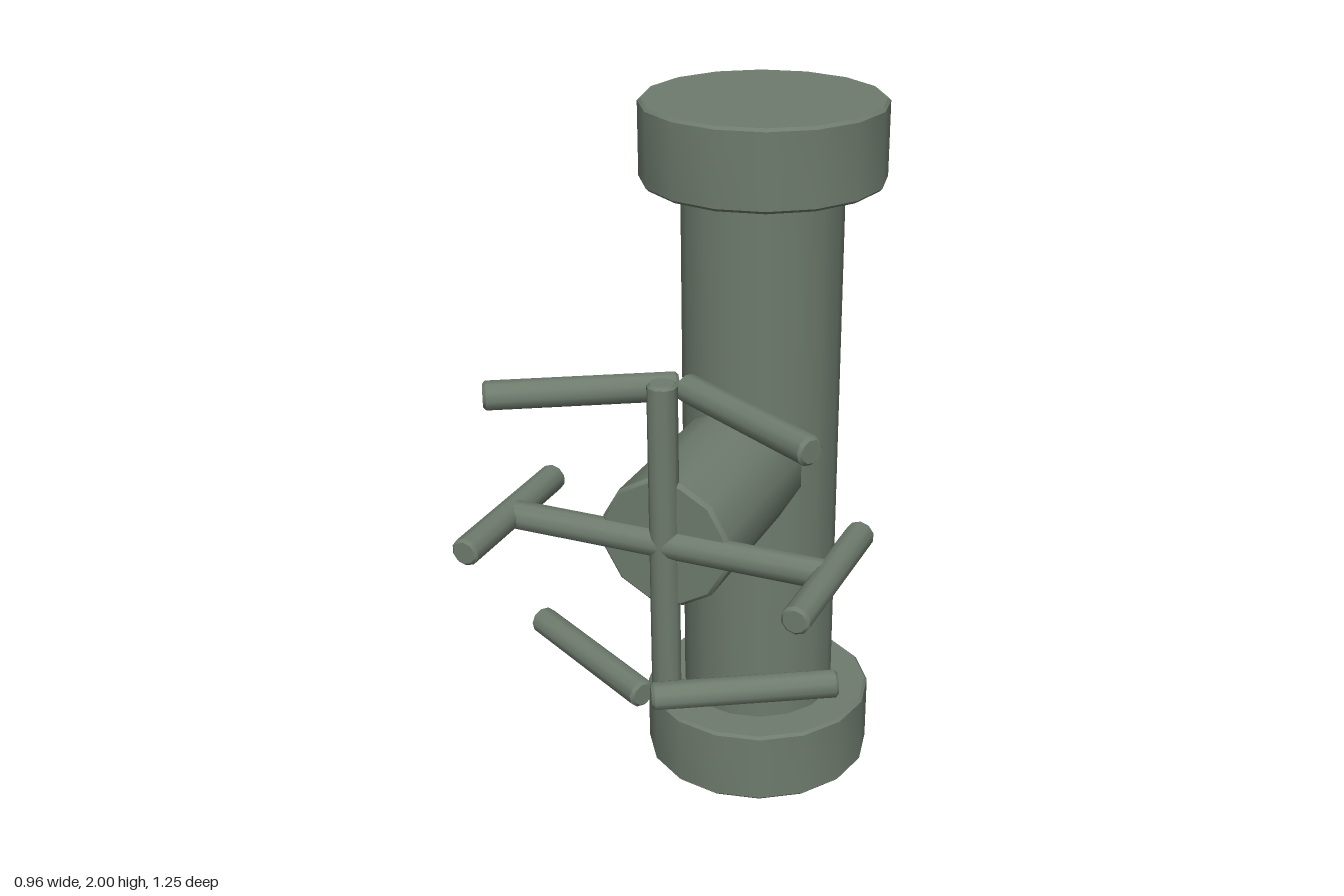
import * as THREE from 'three';
import { toCreasedNormals } from 'three/addons/utils/BufferGeometryUtils.js';

const paint = new THREE.MeshStandardMaterial({ color: 0x6e7b6d });
paint.name = 'grey green paint';

// Upright cylinder with slightly bevelled rims, centred on the origin
function roundBar(name, radius, length, sides, bevel) {
  const h = length / 2;
  const profile = [
    [0, -h], [radius - bevel, -h], [radius, -h + bevel],
    [radius, h - bevel], [radius - bevel, h], [0, h],
  ].map(([x, y]) => new THREE.Vector2(x, y));
  const geometry = toCreasedNormals(new THREE.LatheGeometry(profile, sides), 0.7);
  const mesh = new THREE.Mesh(geometry, paint);
  mesh.name = name;
  return mesh;
}

export function createModel() {
  const model = new THREE.Group();
  model.name = 'pipeValve';

  // Main pipe with a flange at each end
  const pipeZ = -0.29;
  const pipe = roundBar('mainPipe', 0.222, 1.7, 16, 0.006);
  pipe.position.set(0, 1.003, pipeZ);
  model.add(pipe);
  for (const [name, y] of [['bottomFlange', 0.109], ['topFlange', 1.891]]) {
    const flange = roundBar(name, 0.334, 0.218, 16, 0.008);
    flange.position.set(0, y, pipeZ);
    model.add(flange);
  }

  // Branch stub that carries the handwheel
  const stub = roundBar('valveStub', 0.18, 0.63, 12, 0.01);
  stub.geometry.rotateY(Math.PI / 12);
  stub.rotation.x = Math.PI / 2;
  stub.position.set(0, 1.003, 0.067);
  model.add(stub);

  // Handwheel: two crossed spokes and six slanted rim bars
  const wheel = new THREE.Group();
  wheel.name = 'handwheel';
  wheel.position.set(0, 1.003, 0.377);
  const upright = roundBar('verticalSpoke', 0.039, 0.885, 10, 0.008);
  const level = roundBar('horizontalSpoke', 0.039, 0.87, 10, 0.008);
  level.rotation.z = Math.PI / 2;
  wheel.add(upright, level);

  const up = new THREE.Vector3(0, 1, 0);
  for (let i = 0; i < 6; i++) {
    const a = (i * Math.PI) / 3;
    const x = Math.cos(a), y = Math.sin(a);
    // Side bars run front to back; upper bars slope forward outwards, lower ones backward
    const slope = Math.sign(x) * (y > 0 ? 1 : -1);
    const direction = Math.abs(y) < 0.01
      ? new THREE.Vector3(0, 0, 1)
      : new THREE.Vector3(0.866, 0, 0.5 * slope);
    const bar = roundBar('rimBar' + (i + 1), 0.038, 0.49, 10, 0.008);
    bar.position.set(0.445 * x, 0.445 * y, 0);
    bar.quaternion.setFromUnitVectors(up, direction.normalize());
    wheel.add(bar);
  }
  model.add(wheel);
  return model;
}
